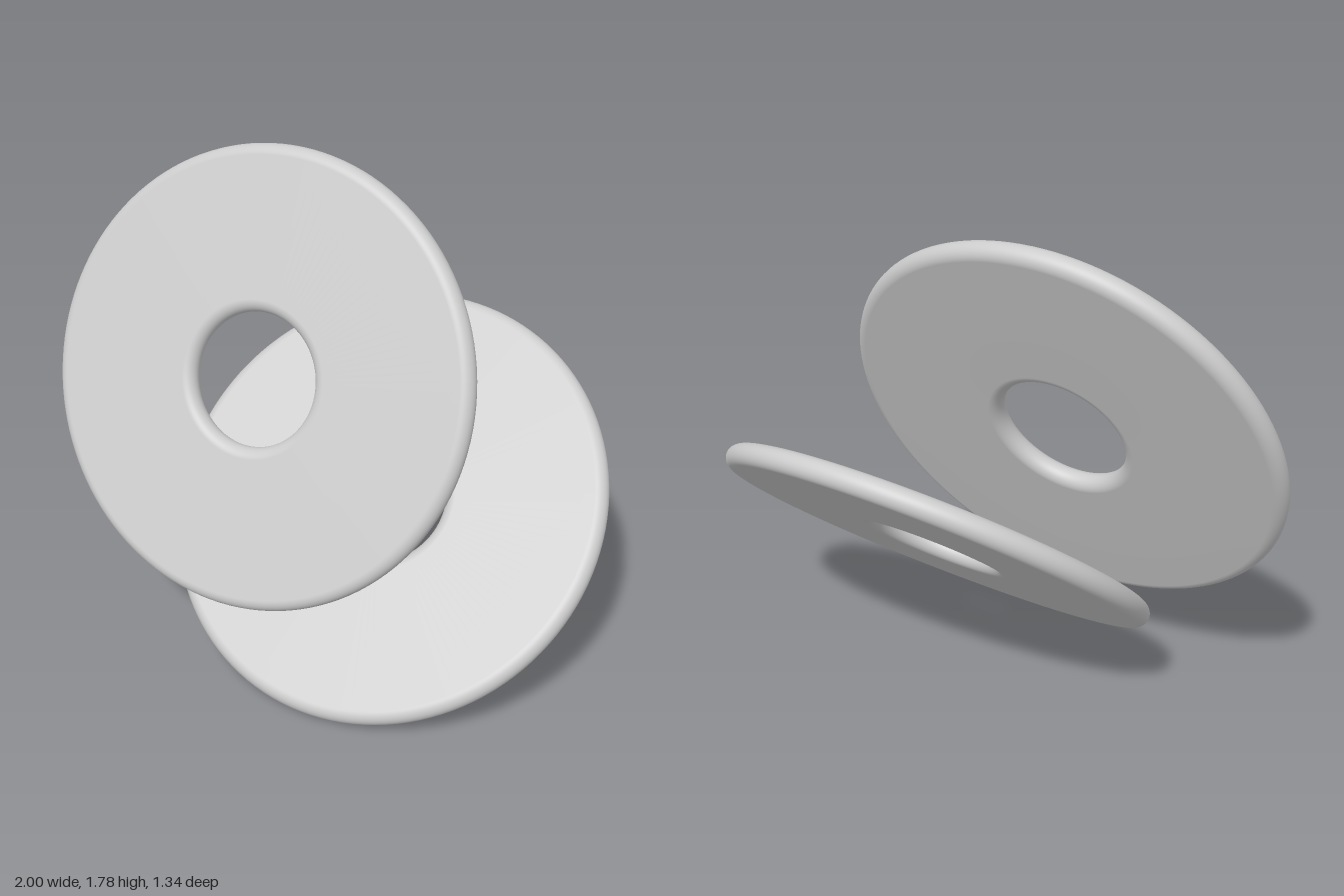
import * as THREE from 'three';

const HALF_THICKNESS = 0.042; // also the radius of the rounded rims
const OUTER = 0.777; // centre of the outer rim rounding
const INNER = 0.28; // centre of the hole rim rounding

// Closed section of a flat washer with fully rounded inner and outer rims
function ringGeometry() {
  const points = [new THREE.Vector2((INNER + OUTER) / 2, -HALF_THICKNESS)];
  const addRim = (radius, startAngle) => {
    const steps = 20;
    for (let i = 0; i <= steps; i++) {
      const a = startAngle + (Math.PI * i) / steps;
      points.push(new THREE.Vector2(
        radius + HALF_THICKNESS * Math.cos(a),
        HALF_THICKNESS * Math.sin(a)
      ));
    }
  };
  addRim(OUTER, -Math.PI / 2);
  addRim(INNER, Math.PI / 2);
  points.push(points[0].clone());
  return new THREE.LatheGeometry(points, 128);
}

export function createModel() {
  const group = new THREE.Group();
  group.name = 'ringPair';
  const material = new THREE.MeshStandardMaterial({ color: 0xcccccc });
  const geometry = ringGeometry();
  const up = new THREE.Vector3(0, 1, 0);

  // Place a ring by its centre and the direction its face points
  const addRing = (name, centre, facing) => {
    const ring = new THREE.Mesh(geometry, material);
    ring.name = name;
    ring.position.set(...centre);
    ring.quaternion.setFromUnitVectors(up, new THREE.Vector3(...facing).normalize());
    group.add(ring);
  };

  addRing('upperRing', [-0.243, 1.028, -0.013], [-0.382, 0.4, 0.833]);
  addRing('lowerRing', [0.214, 0.555, 0], [-0.298, 0.751, 0.589]);
  return group;
}
